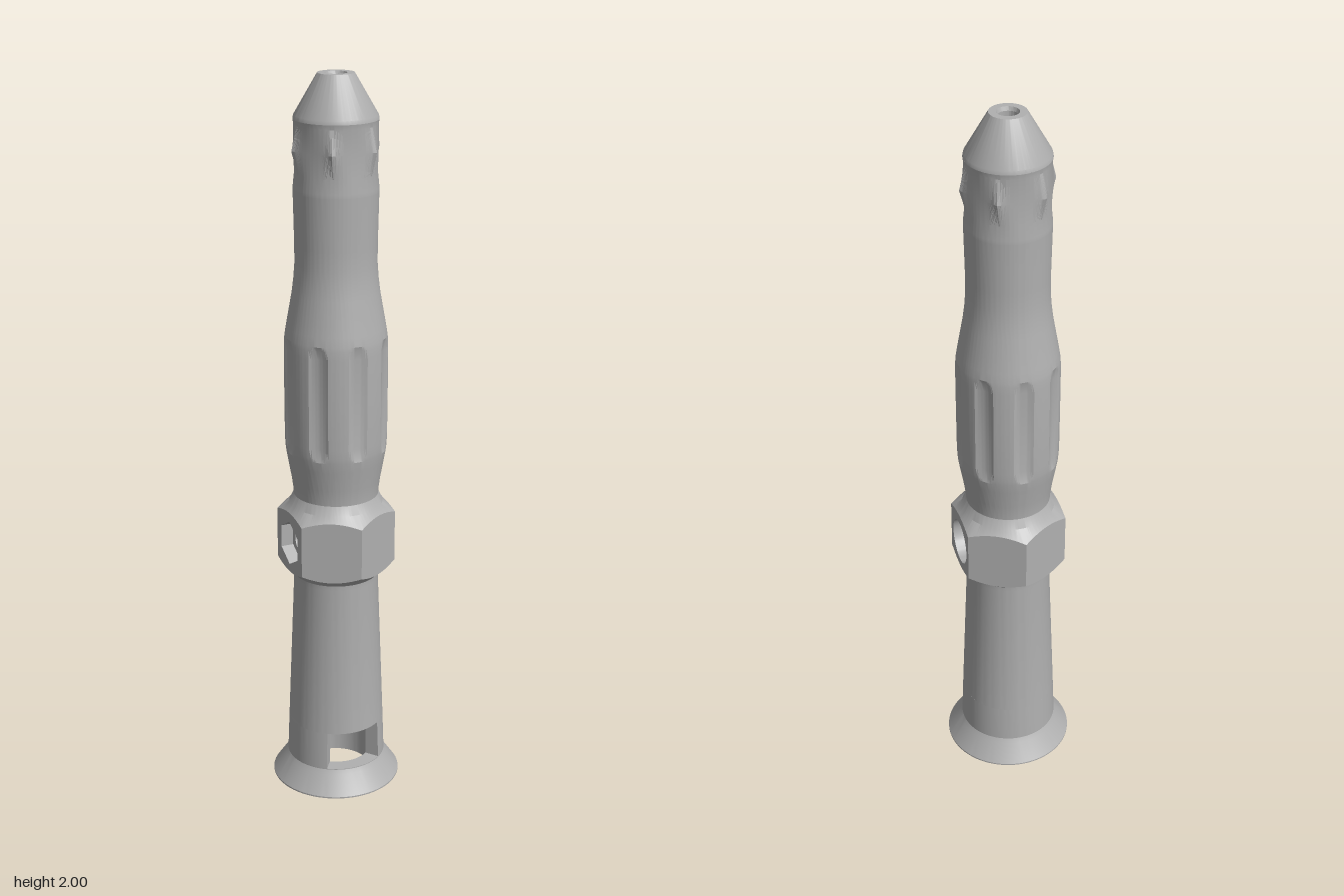
import * as THREE from 'three';
import { toCreasedNormals } from 'three/addons/utils/BufferGeometryUtils.js';

const SEG = 192, CREASE = 0.35, SIXTH = Math.PI / 3;
const HEX = 0.141, HOLE_Y = 0.735, SLOT = 0.625; // hex apothem, cross hole height, half slot angle

// Radius of a hexagon at angle t; corners at t = 0, 60, 120 degrees...
const hexRadius = (t, apothem) => {
  const m = ((t % SIXTH) + SIXTH) % SIXTH;
  return apothem / Math.cos(m - SIXTH / 2);
};
const hexTop = (r) => 0.824 - 0.7 * (r - HEX);
const hexBottom = (r) => 0.65 + 0.7 * (r - HEX);

// Skin through rings; each ring maps an angle to [radius, height]
function loft(rings) {
  const pos = [], index = [], n = SEG + 1;
  rings.forEach((ring, i) => {
    for (let j = 0; j <= SEG; j++) {
      const t = (j / SEG) * Math.PI * 2, [r, y] = ring(t);
      pos.push(r * Math.sin(t), y, r * Math.cos(t));
      if (i && j < SEG) {
        const a = (i - 1) * n + j, c = a + n;
        index.push(a, a + 1, c, a + 1, c + 1, c);
      }
    }
  });
  const g = new THREE.BufferGeometry();
  g.setAttribute('position', new THREE.Float32BufferAttribute(pos, 3));
  g.setIndex(index);
  g.computeVertexNormals();
  return toCreasedNormals(g, CREASE);
}

const circle = (r, y) => () => [r, y];

function lathe(points, start = 0, length = Math.PI * 2, segments = 96) {
  const g = new THREE.LatheGeometry(points.map((p) => new THREE.Vector2(...p)), segments, start, length);
  return toCreasedNormals(g, CREASE);
}

const polygon = (sides, r, y = 0) => Array.from({ length: sides }, (_, i) => {
  const t = (i / sides) * Math.PI * 2;
  return new THREE.Vector2(r * Math.sin(t), y - r * Math.cos(t));
});

export function createModel() {
  const model = new THREE.Group();
  const grey = new THREE.MeshStandardMaterial({ color: 0xb0b0b0, side: THREE.DoubleSide });
  grey.name = 'grey';
  const add = (name, geometry, parent = model) => {
    const mesh = new THREE.Mesh(geometry, grey);
    mesh.name = name;
    parent.add(mesh);
    return mesh;
  };

  // Flared foot
  add('foot', lathe([[0.097, 0], [0.18, 0], [0.18, 0.004], [0.145, 0.055], [0.138, 0.068],
    [0.138, 0.07], [0.097, 0.07], [0.097, 0]]));

  // Wall around the front slot, with its two radial cheeks
  const wall = [[0.138, 0.07], [0.134, 0.18], [0.097, 0.18], [0.097, 0.07]];
  add('slottedWall', lathe(wall, SLOT, Math.PI * 2 - 2 * SLOT));
  for (const side of [-1, 1]) {
    const cheek = new THREE.ShapeGeometry(new THREE.Shape(wall.map((p) => new THREE.Vector2(...p))));
    add('slotCheek', cheek).rotation.y = side * SLOT - Math.PI / 2;
  }

  // Tapered lower barrel with its bore
  add('lowerBarrel', lathe([[0.097, 0.18], [0.134, 0.18], [0.117, 0.615], [0.118, 0.63]]));
  add('lowerBore', lathe([[0.08, 0.695], [0.08, 0.66], [0.097, 0.6], [0.097, 0.18]]));

  // Hexagonal collar: chamfered ends and six side panels
  add('collarBottom', loft([
    circle(0.118, 0.63),
    circle(0.128, 0.641),
    (t) => { const r = hexRadius(t, HEX); return [r, hexBottom(r)]; },
  ]));
  add('collarTop', loft([
    (t) => { const r = hexRadius(t, HEX); return [r, hexTop(r)]; },
    circle(0.128, 0.84),
    circle(0.116, 0.865),
  ]));
  const half = HEX * Math.tan(Math.PI / 6);
  for (let k = 0; k < 6; k++) {
    const panel = new THREE.Group();
    panel.name = 'collarSide';
    panel.rotation.y = SIXTH * (k + 0.5);
    model.add(panel);

    const top = [], bottom = [];
    for (let i = 0; i <= 32; i++) {
      const u = half * (i / 16 - 1), r = Math.hypot(HEX, u);
      bottom.push(new THREE.Vector2(u, hexBottom(r)));
      top.unshift(new THREE.Vector2(u, hexTop(r)));
    }
    const shape = new THREE.Shape([...bottom, ...top]);

    // Cross hole: round recess on the left (+x), hexagonal nut pocket opposite
    if (k === 1 || k === 4) {
      const sides = k === 1 ? 48 : 6, r = 0.063, depth = 0.035, floorZ = HEX - depth;
      shape.holes.push(new THREE.Path(polygon(sides, r, HOLE_Y)));
      const tube = (radius, n, length, z) => toCreasedNormals(
        new THREE.CylinderGeometry(radius, radius, length, n, 1, true)
          .rotateX(Math.PI / 2).translate(0, HOLE_Y, z), CREASE);
      add('recessWall', tube(r, sides, depth, HEX - depth / 2), panel);
      add('crossHole', tube(0.04, 48, floorZ - 0.069, (floorZ + 0.069) / 2), panel);
      const floor = new THREE.Shape(polygon(sides, r, HOLE_Y));
      floor.holes.push(new THREE.Path(polygon(48, 0.04, HOLE_Y)));
      add('recessFloor', new THREE.ShapeGeometry(floor).translate(0, 0, floorZ), panel);
    }
    add('collarPanel', new THREE.ShapeGeometry(shape).translate(0, 0, HEX), panel);
  }

  // Bore wall at the cross hole, open towards both sides
  for (const start of [-SIXTH, Math.PI - SIXTH]) {
    add('crossBore', lathe([[0.08, 0.775], [0.08, 0.695]], start, 2 * SIXTH, 48));
  }

  // Grip with eight shallow grooves, then the neck; rows are [radius, height, groove depth]
  const grip = [
    [0.116, 0.865, 0], [0.117, 0.88, 0], [0.121, 0.91, 0], [0.131, 0.965, 0], [0.136, 0.995, 0],
    [0.137, 1.006, 0.5], [0.1385, 1.03, 1], [0.139, 1.15, 1], [0.139, 1.28, 1],
    [0.138, 1.304, 0.5], [0.137, 1.315, 0], [0.133, 1.34, 0], [0.117, 1.43, 0],
    [0.112, 1.47, 0], [0.109, 1.51, 0], [0.109, 1.56, 0], [0.112, 1.70, 0],
  ];
  add('grip', loft(grip.map(([r, y, d]) => (t) => {
    const pitch = Math.PI / 4;
    const off = (t - Math.round(t / pitch) * pitch) / 0.196;
    return [r - 0.009 * Math.max(0, d - off * off), y];
  })));

  // Nose: six pointed studs, then a cone with a bored tip
  add('studBand', loft([
    circle(0.112, 1.70),
    circle(0.112, 1.71),
    circle(0.108, 1.748),
    (t) => [hexRadius(t + SIXTH / 2, 0.1083), 1.81],
    circle(0.109, 1.872),
    circle(0.111, 1.885),
  ]));
  add('noseCone', lathe([[0.111, 1.885], [0.109, 1.895], [0.048, 2], [0.029, 2], [0.025, 1.99]]));
  add('upperBore', lathe([[0.025, 1.99], [0.025, 0.86], [0.08, 0.8], [0.08, 0.775]]));

  return model;
}
